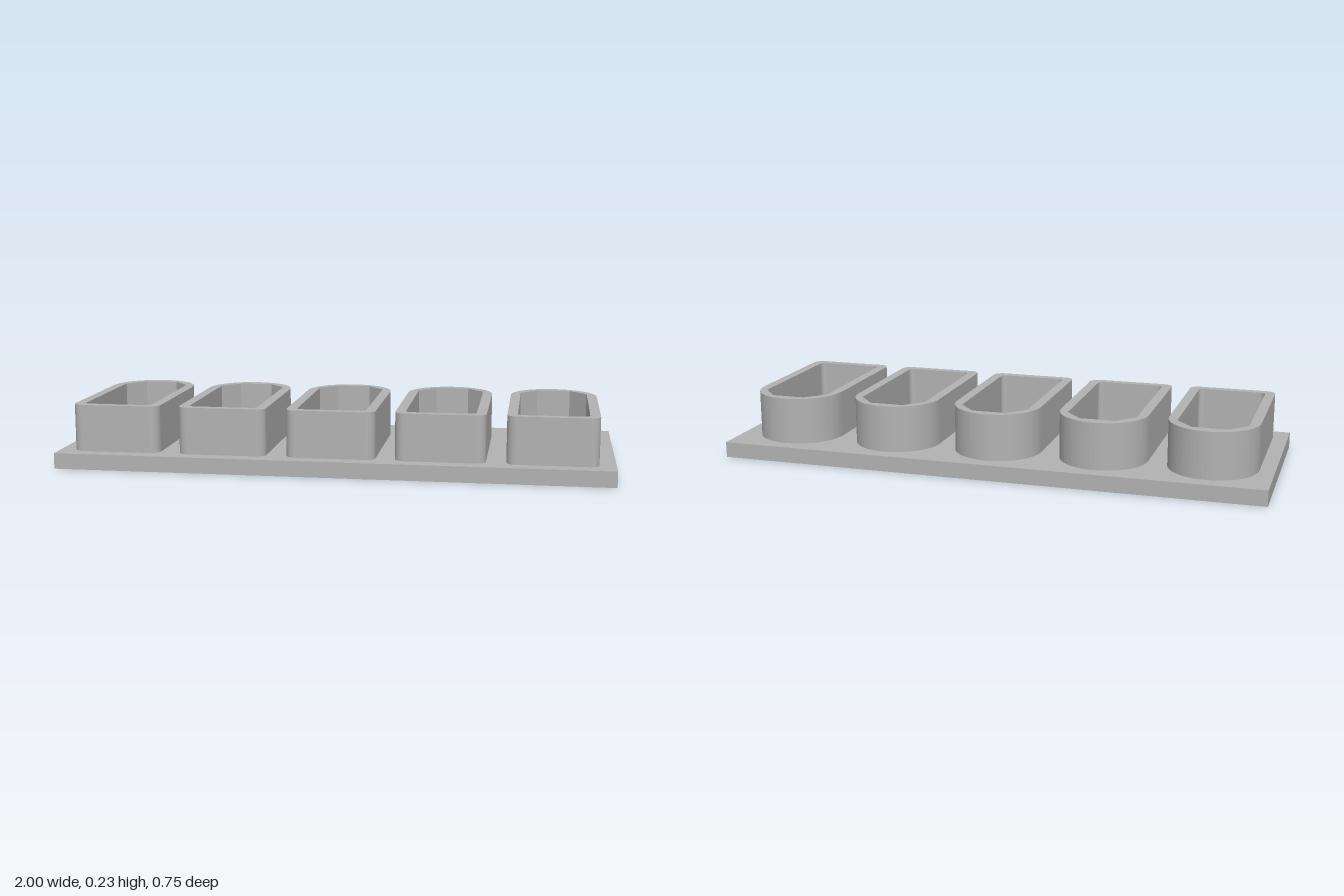
import * as THREE from 'three';

const BASE_H = 0.057, CUP_H = 0.17;

// Outer wall outline: round back (+y in the shape), small rounded front corners
function tracePlan(path, halfW, front, r) {
  path.moveTo(-halfW + r, front);
  path.lineTo(halfW - r, front);
  path.absarc(halfW - r, front + r, r, -Math.PI / 2, 0, false);
}

function outerOutline() {
  const s = new THREE.Shape(), w = 0.16, front = -0.317, r = 0.035;
  tracePlan(s, w, front, r);
  s.absarc(0, 0.158, w, 0, Math.PI, false);
  s.absarc(-w + r, front + r, r, Math.PI, Math.PI * 1.5, false);
  return s;
}

// Inner cavity: straight sides with a chamfered back
function cavityOutline(back) {
  const p = new THREE.Path(), w = 0.124, front = -0.284, r = 0.02;
  tracePlan(p, w, front, r);
  p.lineTo(w, back - 0.07);
  p.lineTo(0.062, back);
  p.lineTo(-0.062, back);
  p.lineTo(-w, back - 0.07);
  p.absarc(-w + r, front + r, r, Math.PI, Math.PI * 1.5, false);
  return p;
}

export function createModel() {
  const group = new THREE.Group();
  const grey = new THREE.MeshStandardMaterial({ color: 0xb2b2b2 });
  grey.name = 'plain grey';

  // Flat base plate
  const base = new THREE.Mesh(new THREE.BoxGeometry(2, BASE_H, 0.746), grey);
  base.name = 'basePlate';
  base.position.y = BASE_H / 2;
  group.add(base);

  // Row of five open cups
  [-0.785, -0.394, 0, 0.39, 0.781].forEach((x, i) => {
    const outline = outerOutline();
    outline.holes.push(cavityOutline(i < 2 ? 0.273 : 0.28));
    const geo = new THREE.ExtrudeGeometry(outline, { depth: CUP_H, bevelEnabled: false, curveSegments: 16 });
    geo.rotateX(-Math.PI / 2);
    const cup = new THREE.Mesh(geo, grey);
    cup.name = `cup${i + 1}`;
    cup.position.set(x, BASE_H, 0);
    group.add(cup);
  });
  return group;
}
